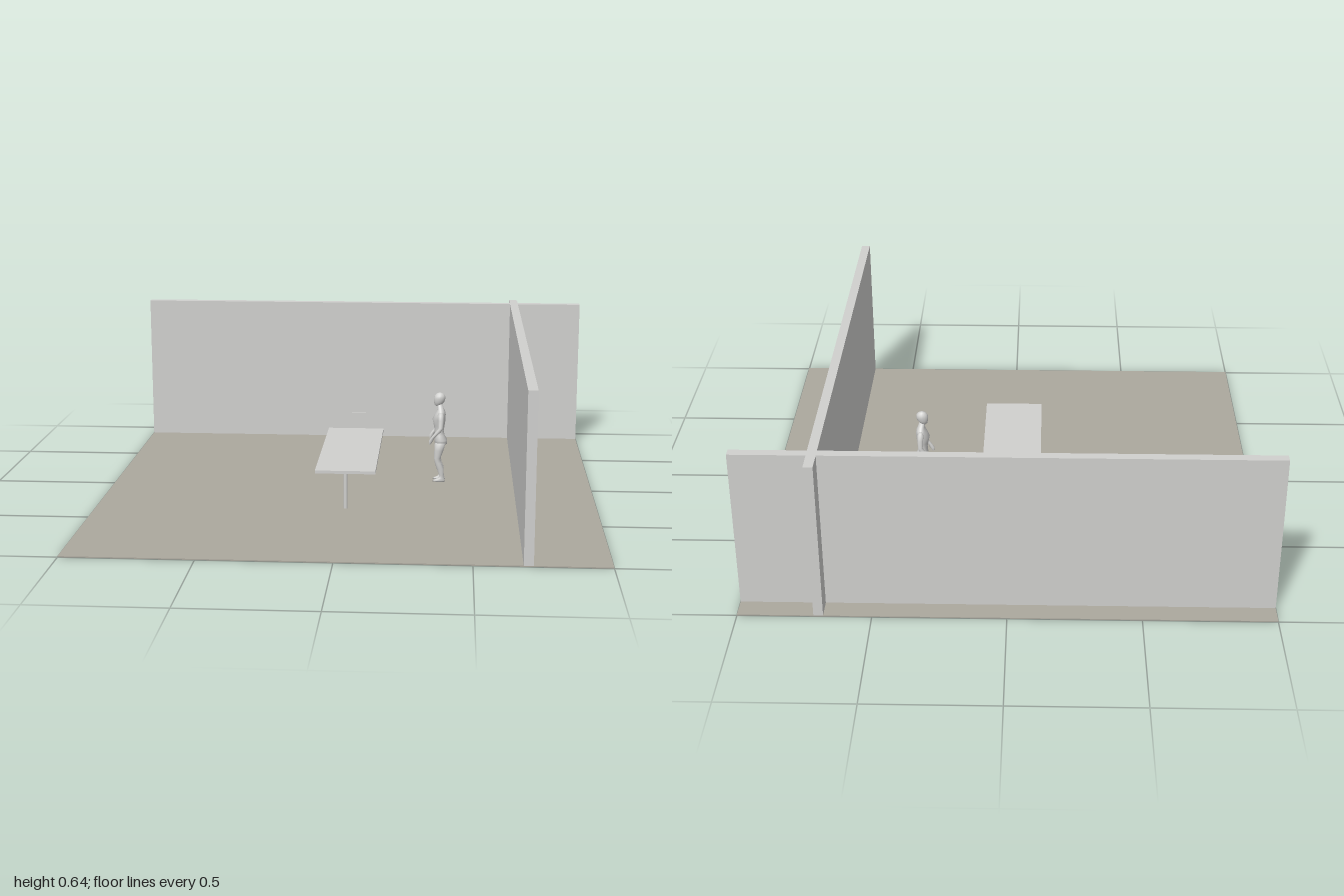
import * as THREE from 'three';

const wallGrey = new THREE.MeshStandardMaterial({ name: 'wall grey', color: 0xd0d0ce });
const floorTaupe = new THREE.MeshStandardMaterial({ name: 'floor taupe', color: 0xaca89e });

function add(parent, name, geometry, material, x = 0, y = 0, z = 0) {
  const mesh = new THREE.Mesh(geometry, material);
  mesh.name = name;
  mesh.position.set(x, y, z);
  parent.add(mesh);
  return mesh;
}

// Skin over level ellipses listed bottom to top: [x, y, z, radiusX, radiusZ]
function loft(sections, sides = 14) {
  const positions = [], index = [];
  const first = sections[0], last = sections[sections.length - 1];
  const rings = [[...first.slice(0, 3), 0, 0], ...sections, [...last.slice(0, 3), 0, 0]];
  for (const [x, y, z, rx, rz] of rings) {
    for (let j = 0; j < sides; j++) {
      const a = (j / sides) * Math.PI * 2;
      positions.push(x + rx * Math.cos(a), y, z + rz * Math.sin(a));
    }
  }
  for (let i = 0; i < rings.length - 1; i++) {
    for (let j = 0; j < sides; j++) {
      const a = i * sides + j, b = i * sides + ((j + 1) % sides);
      index.push(a, a + sides, b, a + sides, b + sides, b);
    }
  }
  const geometry = new THREE.BufferGeometry();
  geometry.setAttribute('position', new THREE.Float32BufferAttribute(positions, 3));
  geometry.setIndex(index);
  geometry.computeVertexNormals();
  return geometry;
}

function createWalls() {
  // Plan of the two crossing walls, with shape y = -z
  const x0 = 0.68, x1 = 0.716, y0 = 0.882, y1 = 0.918;
  const plan = new THREE.Shape([
    [x0, -1], [x1, -1], [x1, y0], [1, y0], [1, y1], [x1, y1],
    [x1, 1], [x0, 1], [x0, y1], [-1, y1], [-1, y0], [x0, y0],
  ].map(([x, y]) => new THREE.Vector2(x, y)));
  const geometry = new THREE.ExtrudeGeometry(plan, { depth: 0.637, bevelEnabled: false });
  return geometry.rotateX(-Math.PI / 2);
}

function createFigure() {
  const figure = new THREE.Group();
  figure.name = 'standingFigure';

  add(figure, 'torso', loft([
    [0, 0.155, -0.004, 0.012, 0.014],
    [0, 0.166, -0.008, 0.032, 0.026],
    [0, 0.182, -0.007, 0.035, 0.027],
    [0, 0.203, -0.001, 0.028, 0.022],
    [0, 0.222, 0, 0.023, 0.019],
    [0, 0.245, 0, 0.028, 0.023],
    [0, 0.272, 0.001, 0.033, 0.028],
    [0, 0.292, -0.004, 0.037, 0.023],
    [0, 0.306, -0.006, 0.034, 0.018],
    [0, 0.315, -0.005, 0.016, 0.014],
    [0, 0.338, 0, 0.011, 0.012],
  ], 18), wallGrey);

  add(figure, 'head', loft([
    [0, 0.328, 0.008, 0.006, 0.007],
    [0, 0.334, 0.006, 0.013, 0.015],
    [0, 0.346, 0.002, 0.018, 0.022],
    [0, 0.361, 0, 0.02, 0.025],
    [0, 0.373, -0.001, 0.018, 0.022],
    [0, 0.381, -0.001, 0.011, 0.014],
    [0, 0.385, -0.001, 0.003, 0.004],
  ]), wallGrey);

  for (const s of [-1, 1]) {
    const side = s > 0 ? 'left' : 'right';
    // Leg from sole to hip
    add(figure, side + 'Leg', loft([
      [s * 0.02, 0.004, -0.001, 0.010, 0.027],
      [s * 0.02, 0.010, -0.002, 0.010, 0.024],
      [s * 0.02, 0.018, -0.010, 0.009, 0.014],
      [s * 0.02, 0.030, -0.012, 0.008, 0.009],
      [s * 0.02, 0.060, -0.006, 0.012, 0.015],
      [s * 0.02, 0.085, 0.003, 0.012, 0.014],
      [s * 0.019, 0.105, 0.007, 0.013, 0.014],
      [s * 0.018, 0.140, 0, 0.016, 0.020],
      [s * 0.018, 0.172, -0.005, 0.017, 0.023],
    ]), wallGrey);
    // Arm from fingertips to shoulder, slightly bent forward
    add(figure, side + 'Arm', loft([
      [s * 0.052, 0.174, 0.038, 0.004, 0.004],
      [s * 0.053, 0.188, 0.034, 0.006, 0.009],
      [s * 0.054, 0.202, 0.026, 0.006, 0.008],
      [s * 0.056, 0.228, 0.003, 0.008, 0.011],
      [s * 0.054, 0.244, -0.007, 0.009, 0.010],
      [s * 0.047, 0.275, -0.007, 0.010, 0.012],
      [s * 0.041, 0.295, -0.006, 0.012, 0.013],
      [s * 0.036, 0.305, -0.006, 0.007, 0.007],
    ]), wallGrey);
  }

  // Faces the table
  figure.rotation.y = -Math.PI / 2;
  figure.position.set(0.366, 0, -0.118);
  return figure;
}

export function createModel() {
  const model = new THREE.Group();
  model.name = 'meetingRoom';

  add(model, 'floor', new THREE.BoxGeometry(2, 0.004, 2), floorTaupe, 0, 0.002, 0);
  add(model, 'walls', createWalls(), wallGrey, 0, 0.004, 0);

  // Table on two round legs
  const table = new THREE.Group();
  table.name = 'table';
  add(table, 'tableTop', new THREE.BoxGeometry(0.24, 0.012, 0.72), wallGrey, 0, 0.161, 0);
  for (const z of [-0.325, 0.325]) {
    add(table, 'tableLeg', new THREE.CylinderGeometry(0.008, 0.008, 0.152, 20), wallGrey, 0, 0.08, z);
  }
  model.add(table);

  // Narrow panel floating beyond the table end
  add(model, 'hangingPanel', new THREE.BoxGeometry(0.216, 0.027, 0.004), wallGrey, 0, 0.216, -0.39);

  model.add(createFigure());
  return model;
}
